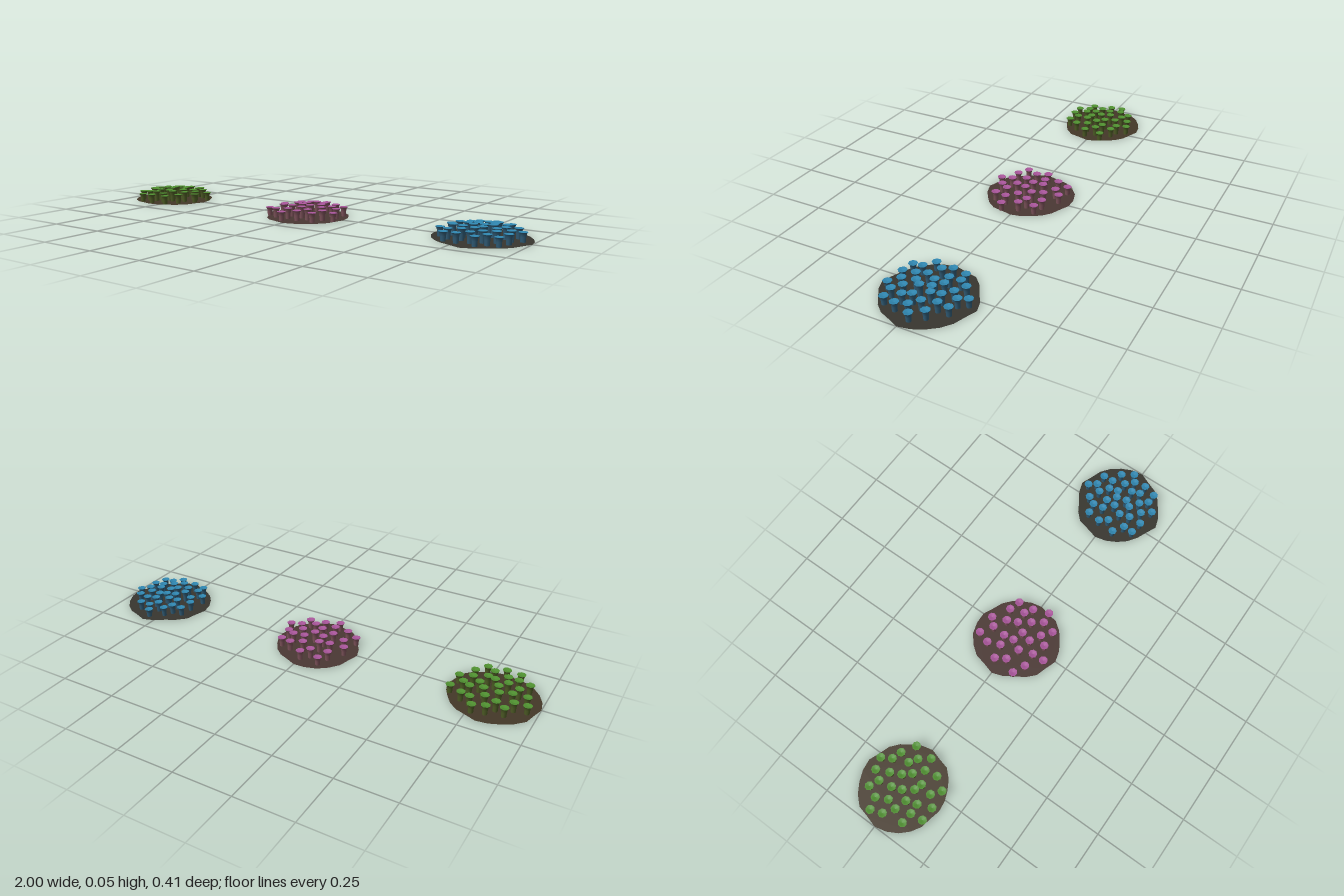
import * as THREE from 'three';

// Each colony: mat radii every 30 degrees, from +x towards +z, and its polyp count
const colonies = [
  {
    name: 'greenColony', x: -0.8, count: 32, seed: 3, mat: 0x443828, stem: 0x4c5a24, cap: 0x4f9030,
    radii: [0.185, 0.185, 0.175, 0.175, 0.18, 0.19, 0.2, 0.2, 0.19, 0.19, 0.18, 0.175],
  },
  {
    name: 'pinkColony', x: 0, count: 28, seed: 7, mat: 0x4a3833, stem: 0x7a5058, cap: 0xa8559a,
    radii: [0.175, 0.18, 0.18, 0.195, 0.19, 0.18, 0.2, 0.2, 0.2, 0.19, 0.175, 0.17],
  },
  {
    name: 'blueColony', x: 0.8, count: 36, seed: 11, mat: 0x38362f, stem: 0x2f5a74, cap: 0x2f86b0,
    radii: [0.2, 0.185, 0.18, 0.2, 0.185, 0.19, 0.2, 0.2, 0.185, 0.205, 0.195, 0.195],
  },
];

// Small seeded generator giving values from -1 to 1
function seededJitter(seed) {
  let state = seed;
  return () => {
    state = (state * 16807) % 2147483647;
    return (state / 2147483647) * 2 - 1;
  };
}

const material = (color) => new THREE.MeshStandardMaterial({ color, side: THREE.DoubleSide });
const lathe = (profile) => new THREE.LatheGeometry(profile.map(([r, y]) => new THREE.Vector2(r, y)), 8);

// Unit-height flared stalk and the shallow dished mouth on top of it
const stemGeometry = lathe([[0.0105, 0], [0.0115, 0.5], [0.0135, 0.8], [0.0185, 0.97]]);
const capGeometry = lathe([[0.0185, 0.97], [0.019, 1], [0.012, 0.96], [0, 0.9]]);

// Thin ragged mat lying on the ground, with a nick between each pair of radii
function createMat(radii, color) {
  const outline = [];
  radii.forEach((radius, i) => {
    const angle = (i / radii.length) * Math.PI * 2;
    const next = radii[(i + 1) % radii.length];
    const nick = ((radius + next) / 2) * (i % 3 === 0 ? 0.96 : 1);
    const half = angle + Math.PI / radii.length;
    outline.push(new THREE.Vector2(radius * Math.cos(angle), -radius * Math.sin(angle)));
    outline.push(new THREE.Vector2(nick * Math.cos(half), -nick * Math.sin(half)));
  });
  const geometry = new THREE.ShapeGeometry(new THREE.Shape(outline));
  geometry.rotateX(-Math.PI / 2);
  const mat = new THREE.Mesh(geometry, material(color));
  mat.name = 'mat';
  return mat;
}

function createPolyp(stemMaterial, capMaterial) {
  const polyp = new THREE.Group();
  polyp.name = 'polyp';
  const stalk = new THREE.Mesh(stemGeometry, stemMaterial);
  stalk.name = 'stalk';
  const mouth = new THREE.Mesh(capGeometry, capMaterial);
  mouth.name = 'mouth';
  polyp.add(stalk, mouth);
  return polyp;
}

function createColony({ name, x, count, seed, mat, stem, cap, radii }) {
  const colony = new THREE.Group();
  colony.name = name;
  colony.position.x = x;
  colony.add(createMat(radii, mat));

  // Polyps on a loose sunflower spiral, tallest in the middle of the mat
  const jitter = seededJitter(seed * 7919);
  const stemMaterial = material(stem);
  const capMaterial = material(cap);
  for (let i = 0; i < count; i++) {
    const angle = i * 2.4 + seed;
    const distance = 0.168 * Math.sqrt((i + 0.3) / count);
    const px = distance * Math.cos(angle) + 0.007 * jitter();
    const pz = distance * Math.sin(angle) + 0.007 * jitter();
    const polyp = createPolyp(stemMaterial, capMaterial);
    polyp.position.set(px, 0, pz);
    polyp.rotation.y = angle;
    polyp.scale.y = Math.max(0.036, 0.053 - 0.55 * (px * px + pz * pz));
    colony.add(polyp);
  }
  return colony;
}

export function createModel() {
  const model = new THREE.Group();
  model.name = 'coralPolypColonies';
  colonies.forEach((colony) => model.add(createColony(colony)));
  return model;
}
